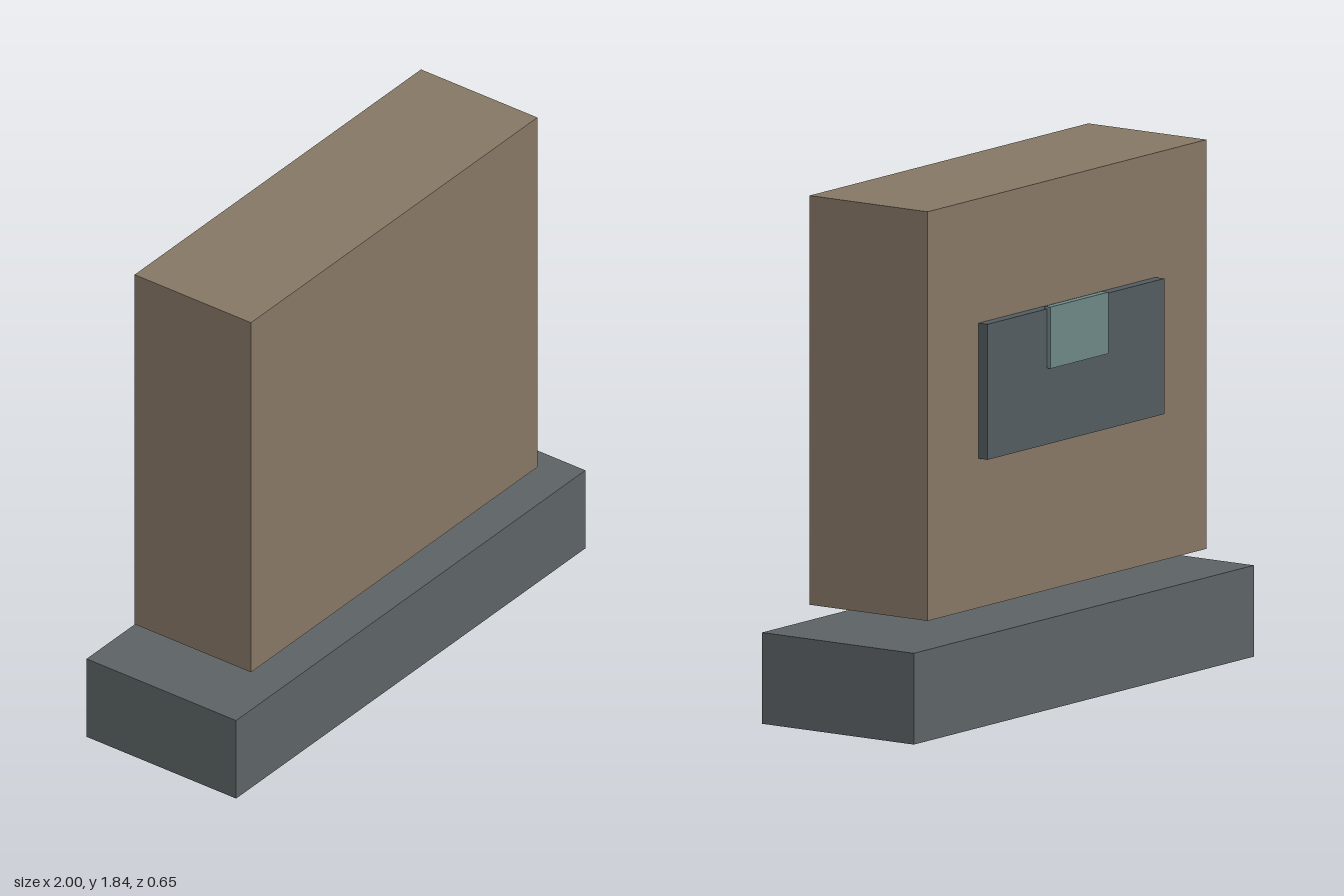
import * as THREE from 'three';

// Box given by its half width, its y range and its z range, centred on x = 0
function addBox(group, name, color, halfX, [y0, y1], [z0, z1]) {
  const mesh = new THREE.Mesh(
    new THREE.BoxGeometry(halfX * 2, y1 - y0, z1 - z0),
    new THREE.MeshStandardMaterial({ color })
  );
  mesh.name = name;
  mesh.position.set(0, (y0 + y1) / 2, (z0 + z1) / 2);
  group.add(mesh);
}

export function createModel() {
  const group = new THREE.Group();
  group.name = 'slabOnPlinth';

  // Plinth, with the slab hovering just above it
  addBox(group, 'plinth', 0x5e6567, 1, [0, 0.322], [-0.325, 0.325]);
  addBox(group, 'slab', 0x887967, 0.82, [0.4, 1.843], [-0.253, 0.253]);

  // Plate on the back, with a small tab on its upper edge
  addBox(group, 'backPlate', 0x545d61, 0.52, [0.926, 1.404], [-0.291, -0.253]);
  addBox(group, 'plateTab', 0x6f8988, 0.17, [1.195, 1.412], [-0.306, -0.279]);

  return group;
}
